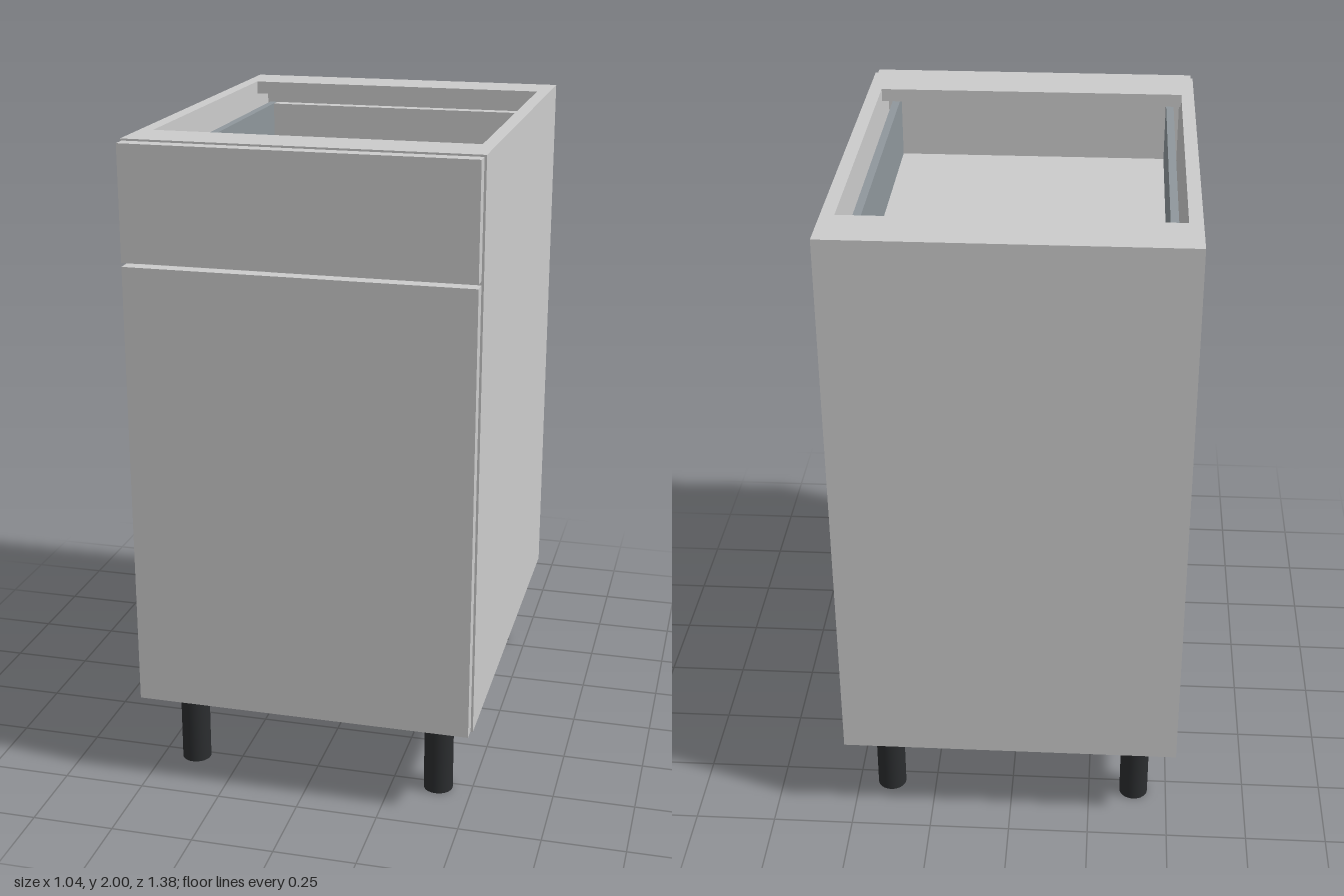
import * as THREE from 'three';

export function createModel() {
  const cabinet = new THREE.Group();
  cabinet.name = 'baseCabinet';
  const grey = new THREE.MeshStandardMaterial({ color: 0xcccccc });
  const metal = new THREE.MeshStandardMaterial({ color: 0x8f979c });
  const black = new THREE.MeshStandardMaterial({ color: 0x2b2d2f });

  // Box given by its limits on each axis
  function panel(name, [x0, x1], [y0, y1], [z0, z1], material = grey, parent = cabinet) {
    const mesh = new THREE.Mesh(new THREE.BoxGeometry(x1 - x0, y1 - y0, z1 - z0), material);
    mesh.position.set((x0 + x1) / 2, (y0 + y1) / 2, (z0 + z1) / 2);
    mesh.name = name;
    parent.add(mesh);
  }

  const base = 0.27, top = 2, back = -0.69, front = 0.643;
  const inner = [-0.48, 0.48];

  // Carcass
  panel('leftSide', [0.48, 0.52], [base, top], [back, front]);
  panel('rightSide', [-0.52, -0.48], [base, top], [back, front]);
  panel('bottomPanel', inner, [base, base + 0.04], [back, front]);
  panel('backPanel', inner, [base + 0.04, top - 0.04], [back, back + 0.04]);
  panel('backRail', inner, [top - 0.04, top], [back, -0.525]);
  panel('frontRail', inner, [top - 0.04, top], [0.485, front]);

  // Door and drawer front
  panel('door', [-0.514, 0.514], [0.275, 1.643], [0.647, 0.69]);
  panel('drawerFront', [-0.514, 0.514], [1.655, 1.995], [0.647, 0.69]);

  // Drawer box with metal sides
  const drawer = new THREE.Group();
  drawer.name = 'drawerBox';
  cabinet.add(drawer);
  panel('drawerBottom', [-0.478, 0.478], [1.68, 1.72], [-0.61, front], grey, drawer);
  panel('drawerBack', [-0.435, 0.435], [1.72, 1.92], [-0.61, -0.57], grey, drawer);
  panel('drawerLeftSide', [0.437, 0.461], [1.72, 1.92], [-0.61, front], metal, drawer);
  panel('drawerRightSide', [-0.461, -0.437], [1.72, 1.92], [-0.61, front], metal, drawer);

  // Round legs
  const legGeometry = new THREE.CylinderGeometry(0.045, 0.045, base, 32);
  for (const x of [-0.395, 0.395]) {
    for (const z of [-0.543, 0.525]) {
      const leg = new THREE.Mesh(legGeometry, black);
      leg.name = (z > 0 ? 'front' : 'back') + (x > 0 ? 'Left' : 'Right') + 'Leg';
      leg.position.set(x, base / 2, z);
      cabinet.add(leg);
    }
  }
  return cabinet;
}
